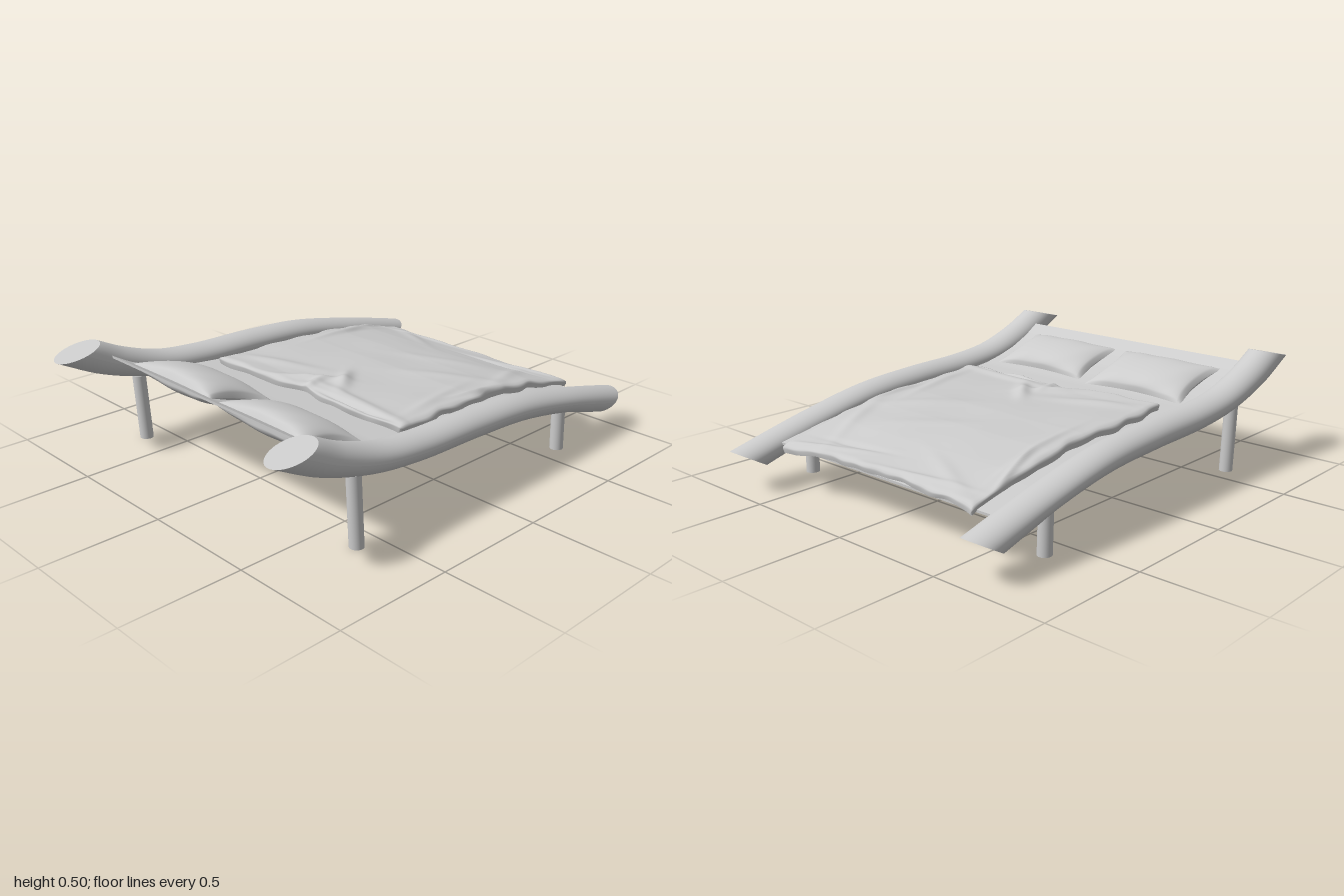
import * as THREE from 'three';

const grey = () => new THREE.MeshStandardMaterial({ color: 0xcccccc, side: THREE.DoubleSide });

function add(parent, geometry, name) {
  const mesh = new THREE.Mesh(geometry, grey());
  mesh.name = name;
  parent.add(mesh);
  return mesh;
}

// Grid surface from a rule f(u, v) -> [x, y, z]
function surface(f, nu, nv) {
  const g = new THREE.PlaneGeometry(1, 1, nu, nv);
  const p = g.attributes.position;
  for (let i = 0; i < p.count; i++) p.setXYZ(i, ...f(p.getX(i) + 0.5, 0.5 - p.getY(i)));
  g.computeVertexNormals();
  return g;
}

// Smooth curve in the side plane from [z, y] pairs
const sideCurve = (pts) => new THREE.CatmullRomCurve3(pts.map(([z, y]) => new THREE.Vector3(0, y, z)));

// Upper and lower outlines of the wavy side rails
const railTop = sideCurve([[0.8, 0.5], [0.68, 0.443], [0.5, 0.385], [0.3, 0.362], [0, 0.354],
  [-0.3, 0.333], [-0.6, 0.276], [-0.8, 0.23], [-1, 0.18]]);
const railBottom = sideCurve([[1, 0.45], [0.8, 0.352], [0.56, 0.282], [0.32, 0.252], [0, 0.243],
  [-0.3, 0.226], [-0.6, 0.173], [-0.74, 0.133], [-0.86, 0.098]]);

// Point on the oval rail section: t along the rail, a around it
function railPoint(t, a) {
  const top = railTop.getPoint(t), bottom = railBottom.getPoint(t);
  const q = bottom.lerp(top, 0.5 + 0.5 * Math.sin(a));
  return [0.076 * Math.cos(a), q.y, q.z];
}

function makeRail() {
  const rail = new THREE.Group();
  add(rail, surface((u, v) => railPoint(v, -u * Math.PI * 2), 40, 64), 'railBody');
  for (const t of [0, 1]) {
    const cap = surface((u, v) => {
      const rim = railPoint(t, u * Math.PI * 2), c = railPoint(t, 0);
      return [rim[0] * v, c[1] + (rim[1] - c[1]) * v, c[2] + (rim[2] - c[2]) * v];
    }, 40, 1);
    add(rail, cap, 'railEnd');
  }
  return rail;
}

// Height of the sleeping board at depth z
const boardPoints = [[-0.95, 0.15], [-0.81, 0.194], [-0.6, 0.235], [-0.4, 0.263], [-0.2, 0.28], [0, 0.286],
  [0.2, 0.29], [0.41, 0.312], [0.5, 0.33], [0.6, 0.358], [0.7, 0.4], [0.785, 0.448]];
function boardY(z) {
  let i = 0;
  while (i < boardPoints.length - 2 && z > boardPoints[i + 1][0]) i++;
  const [z0, y0] = boardPoints[i], [z1, y1] = boardPoints[i + 1];
  return y0 + (y1 - y0) * (z - z0) / (z1 - z0);
}

function makeBoard() {
  const g = new THREE.BoxGeometry(1.19, 0.01, 1.59, 1, 1, 60);
  const p = g.attributes.position;
  for (let i = 0; i < p.count; i++) {
    const z = p.getZ(i) - 0.015;
    p.setXYZ(i, p.getX(i), p.getY(i) + boardY(z) - 0.005, z);
  }
  g.computeVertexNormals();
  return g;
}

// Pillow: two domed sheets with pinched edges and pointed corners
function makePillow(w, d, h) {
  const pillow = new THREE.Group();
  for (const s of [1, -1]) {
    const g = surface((u, v) => {
      const a = u * 2 - 1, b = v * 2 - 1;
      const dome = Math.pow((1 - a * a) * (1 - b * b), 0.45);
      const x = a * w * (1 - 0.13 * (1 - b * b) * a * a);
      const z = b * d * (1 - 0.17 * (1 - a * a) * b * b);
      const crease = 0.003 * Math.sin(9 * a + 4 * b) * (a * a + b * b) * dome;
      return [x, s * (dome * h + crease), z];
    }, 40, 32);
    if (s < 0) g.index.array.reverse();
    g.computeVertexNormals();
    add(pillow, g, s > 0 ? 'pillowTop' : 'pillowUnderside');
  }
  return pillow;
}

// A soft ridge: 1 along the line through (x0, z0) at the given angle, fading with distance
function fold(x, z, x0, z0, angle, length, width) {
  const dx = x - x0, dz = z - z0;
  const along = dx * Math.cos(angle) + dz * Math.sin(angle);
  const across = dz * Math.cos(angle) - dx * Math.sin(angle);
  return Math.exp(-((along / length) ** 2) - (across / width) ** 2);
}

// Folds as [x, z, angle, length, width, height]
const folds = [
  [0.06, 0.08, 0.9, 0.1, 0.03, 0.02], [-0.06, 0.17, -0.6, 0.13, 0.025, 0.016],
  [0.0, 0.2, 1.5, 0.07, 0.02, 0.014], [0.28, 0.245, 0.03, 0.22, 0.012, -0.016],
  [0.25, 0.2, 0.08, 0.24, 0.025, 0.01], [-0.3, 0.14, -0.35, 0.2, 0.035, 0.01],
  [-0.45, -0.4, 1.5, 0.2, 0.018, 0.012], [-0.49, -0.58, 1.3, 0.14, 0.014, 0.012],
  [-0.3, -0.72, 0.45, 0.2, 0.03, 0.006], [-0.2, -0.78, -0.1, 0.22, 0.015, 0.008],
  [0.22, -0.72, -0.1, 0.17, 0.014, -0.008], [0.35, -0.79, -0.25, 0.17, 0.014, 0.008],
  [0.42, -0.55, 1.2, 0.2, 0.03, 0.008], [0.5, -0.25, 1.7, 0.15, 0.016, 0.012],
  [0.3, -0.3, -0.6, 0.2, 0.04, 0.007], [0.1, -0.45, -0.5, 0.2, 0.04, 0.005],
  [0.45, -0.05, 1.4, 0.2, 0.025, 0.01],
];

function blanketPoint(u, v) {
  const lerp = THREE.MathUtils.lerp;
  // Uneven outline, running from the foot edge (v = 0) to the turned-down edge (v = 1)
  const left = lerp(-0.545, -0.525, v) + 0.008 * Math.sin(v * 15) * Math.sin(v * Math.PI) + 0.004 * Math.sin(v * 41);
  const right = lerp(0.535, 0.57, v) - 0.012 * Math.sin(v * Math.PI) + 0.005 * Math.sin(v * 23) + 0.004 * Math.sin(v * 47);
  const foot = -0.822 - 0.035 * Math.abs(u * 2 - 1) ** 3 - 0.015 * u * u + 0.005 * Math.sin(u * 19) + 0.002 * Math.sin(u * 53);
  const head = lerp(0.308, 0.276, u) - 0.035 * Math.exp(-(((u - 0.48) / 0.12) ** 2)) + 0.003 * Math.sin(u * 37);
  let x = lerp(left, right, u), z = lerp(foot, head, v);
  // Soft top that rolls over at the rim and tucks back under itself
  const rim = Math.min(u * 1.1, (1 - u) * 1.1, v * 1.15, (1 - v) * 1.15);
  const k = Math.min(rim / 0.04, 1);
  const drop = Math.sqrt(k * (2 - k));
  const loft = 0.038 - 0.014 * THREE.MathUtils.smoothstep(-z, 0.5, 0.78);
  let y = boardY(z) + 0.004 + loft * drop;
  y += (1 - k) * 0.004 * Math.sin(x * 25 + z * 31);
  y += 0.002 * drop * Math.sin(x * 11 + z * 7) * Math.sin(z * 13 - x * 5);
  for (const [fx, fz, a, l, w, h] of folds) y += h * drop * fold(x, z, fx, fz, a, l, w);
  const tuck = 1 - 0.03 * Math.max(0, 1 - k * 4);
  x *= tuck;
  z = -0.28 + (z + 0.28) * tuck;
  return [x, y, z];
}

// Round leg between two depths, slightly splayed
function makeLeg(zBottom, zTop, height) {
  const g = new THREE.CylinderGeometry(0.029, 0.029, height, 24);
  const p = g.attributes.position;
  for (let i = 0; i < p.count; i++) {
    const t = p.getY(i) / height + 0.5;
    p.setY(i, t * height);
    p.setZ(i, p.getZ(i) + zBottom + (zTop - zBottom) * t);
  }
  return g;
}

export function createModel() {
  const bed = new THREE.Group();
  bed.name = 'bed';

  // Rails and legs, mirrored left and right
  for (const [side, s] of [['left', 1], ['right', -1]]) {
    const rail = makeRail();
    rail.name = side + 'Rail';
    rail.position.x = s * 0.664;
    bed.add(rail);
    add(bed, makeLeg(0.599, 0.616, 0.3), side + 'HeadLeg').position.x = s * 0.664;
    add(bed, makeLeg(-0.61, -0.603, 0.2), side + 'FootLeg').position.x = s * 0.664;
  }

  add(bed, makeBoard(), 'sleepingBoard');
  add(bed, surface(blanketPoint, 170, 170), 'blanket');

  // Pillows lying on the raised head end
  for (const [name, x, w, z, d] of [['rightPillow', -0.278, 0.266, 0.566, 0.167], ['leftPillow', 0.285, 0.262, 0.58, 0.157]]) {
    const pillow = makePillow(w, d, 0.061);
    pillow.name = name;
    pillow.position.set(x, 0.357, z);
    pillow.rotation.x = -0.31;
    bed.add(pillow);
  }
  return bed;
}
